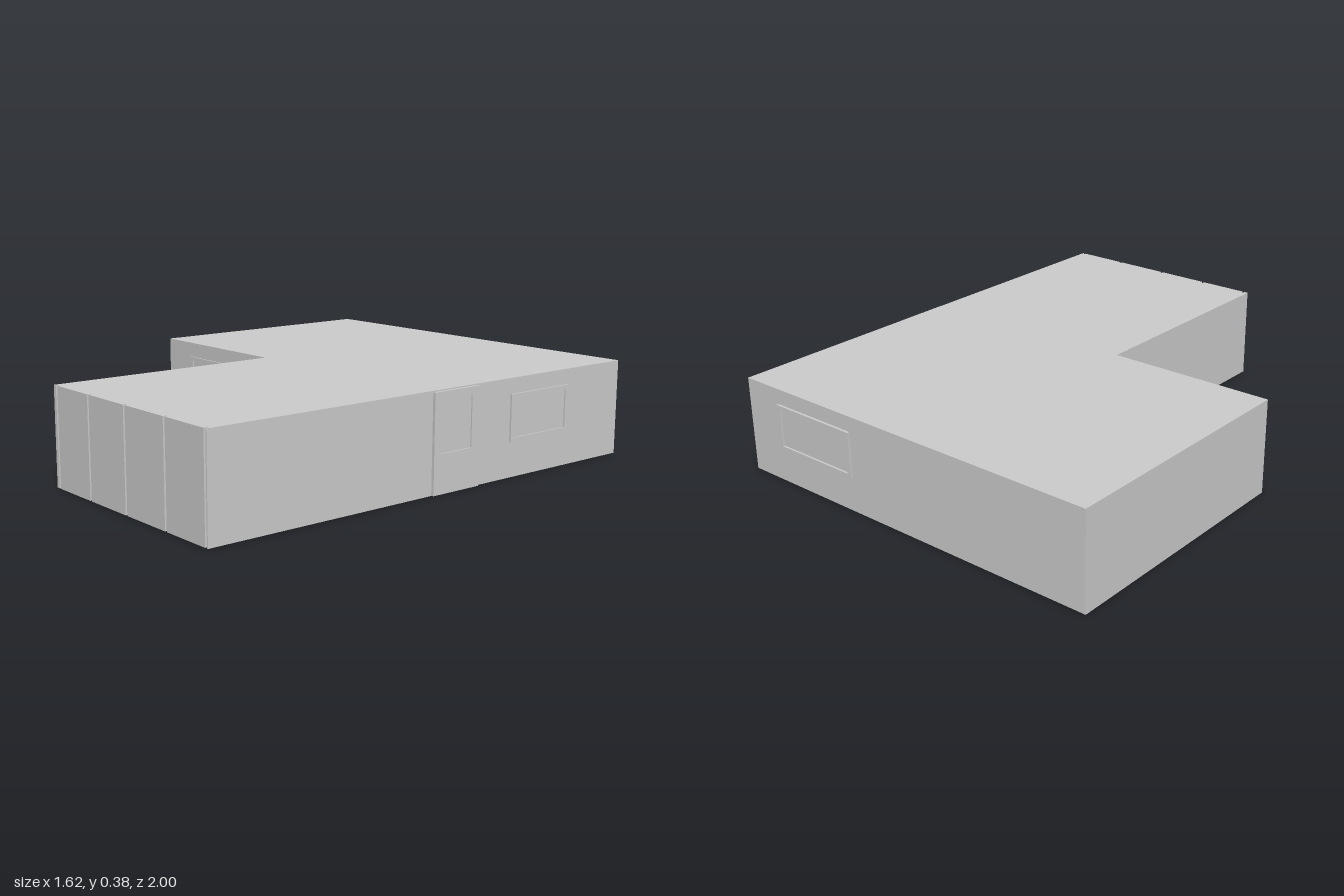
import * as THREE from 'three';

const grey = new THREE.MeshStandardMaterial({ color: 0xcccccc, flatShading: true });

function mesh(name, geometry, parent) {
  const m = new THREE.Mesh(geometry, grey);
  m.name = name;
  parent.add(m);
  return m;
}

// box given by its low and high corners
function box(name, [x0, y0, z0], [x1, y1, z1], parent) {
  const m = mesh(name, new THREE.BoxGeometry(x1 - x0, y1 - y0, z1 - z0), parent);
  m.position.set((x0 + x1) / 2, (y0 + y1) / 2, (z0 + z1) / 2);
  return m;
}

// rectangular frame standing on the local xy plane, facing +z
function frame(name, w, h, border, depth, parent) {
  const rect = (path, a, b) => path
    .moveTo(-a, -b).lineTo(a, -b).lineTo(a, b).lineTo(-a, b).closePath();
  const shape = rect(new THREE.Shape(), w / 2, h / 2);
  shape.holes.push(rect(new THREE.Path(), w / 2 - border, h / 2 - border));
  return mesh(name, new THREE.ExtrudeGeometry(shape, { depth, bevelEnabled: false }), parent);
}

function windowUnit(name, w, h, depth, parent) {
  const g = new THREE.Group();
  g.name = name;
  frame('windowFrame', w, h, 0.016, depth, g);
  box('windowPane', [-w / 2 + 0.01, -h / 2 + 0.01, 0], [w / 2 - 0.01, h / 2 - 0.01, 0.002], g);
  parent.add(g);
  return g;
}

export function createModel() {
  const house = new THREE.Group();
  house.name = 'house';
  const y0 = 0.003, top = 0.378;

  // L-shaped shell, drawn in plan with shape y = -z
  const plan = [[-0.81, 0.99], [-0.81, -0.05], [-0.13, -0.05], [-0.13, -0.985], [0.8, -0.985], [0.8, 0.99]];
  const shell = mesh('shell', new THREE.ExtrudeGeometry(
    new THREE.Shape(plan.map(([x, y]) => new THREE.Vector2(x, y))),
    { depth: top - y0, bevelEnabled: false }), house);
  shell.rotation.x = -Math.PI / 2;
  shell.position.y = y0;

  // foot of the inner dividing wall
  box('dividingWallFoot', [-0.19, 0, -0.98], [-0.125, 0.02, -0.22], house);

  // front wing end: upright panels separated by narrow grooves
  const seams = [-0.11, 0.105, 0.335, 0.57, 0.79], groove = 0.005;
  const edges = [-0.13 - groove, ...seams, 0.8 + groove];
  for (let i = 0; i < edges.length - 1; i++) {
    box('frontPanel', [edges[i] + groove, y0, 0.98], [edges[i + 1] - groove, top, 0.997], house);
  }

  // windows
  windowUnit('frontWindow', 0.42, 0.18, 0.006, house).position.set(-0.435, 0.228, 0.05);
  const back = windowUnit('backWindow', 0.385, 0.18, 0.01, house);
  back.position.set(0.44, 0.228, -0.99);
  back.rotation.y = Math.PI;
  const side = windowUnit('sideWindow', 0.32, 0.18, 0.007, house);
  side.position.set(0.8, 0.228, -0.52);
  side.rotation.y = Math.PI / 2;

  // side door with a sunken pane
  const door = new THREE.Group();
  door.name = 'sideDoor';
  const leaf = new THREE.Shape([[-0.113, -0.182], [0.113, -0.182], [0.113, 0.187], [-0.113, 0.187]]
    .map(([x, y]) => new THREE.Vector2(x, y)));
  leaf.holes.push(new THREE.Path([[-0.083, -0.035], [-0.083, 0.158], [0.073, 0.158], [0.073, -0.035]]
    .map(([x, y]) => new THREE.Vector2(x, y))));
  mesh('doorLeaf', new THREE.ExtrudeGeometry(leaf, { depth: 0.011, bevelEnabled: false }), door);
  box('doorPane', [-0.085, -0.037, 0], [0.075, 0.16, 0.006], door);
  door.position.set(0.8, 0.186, -0.073);
  door.rotation.y = Math.PI / 2;
  house.add(door);

  return house;
}
